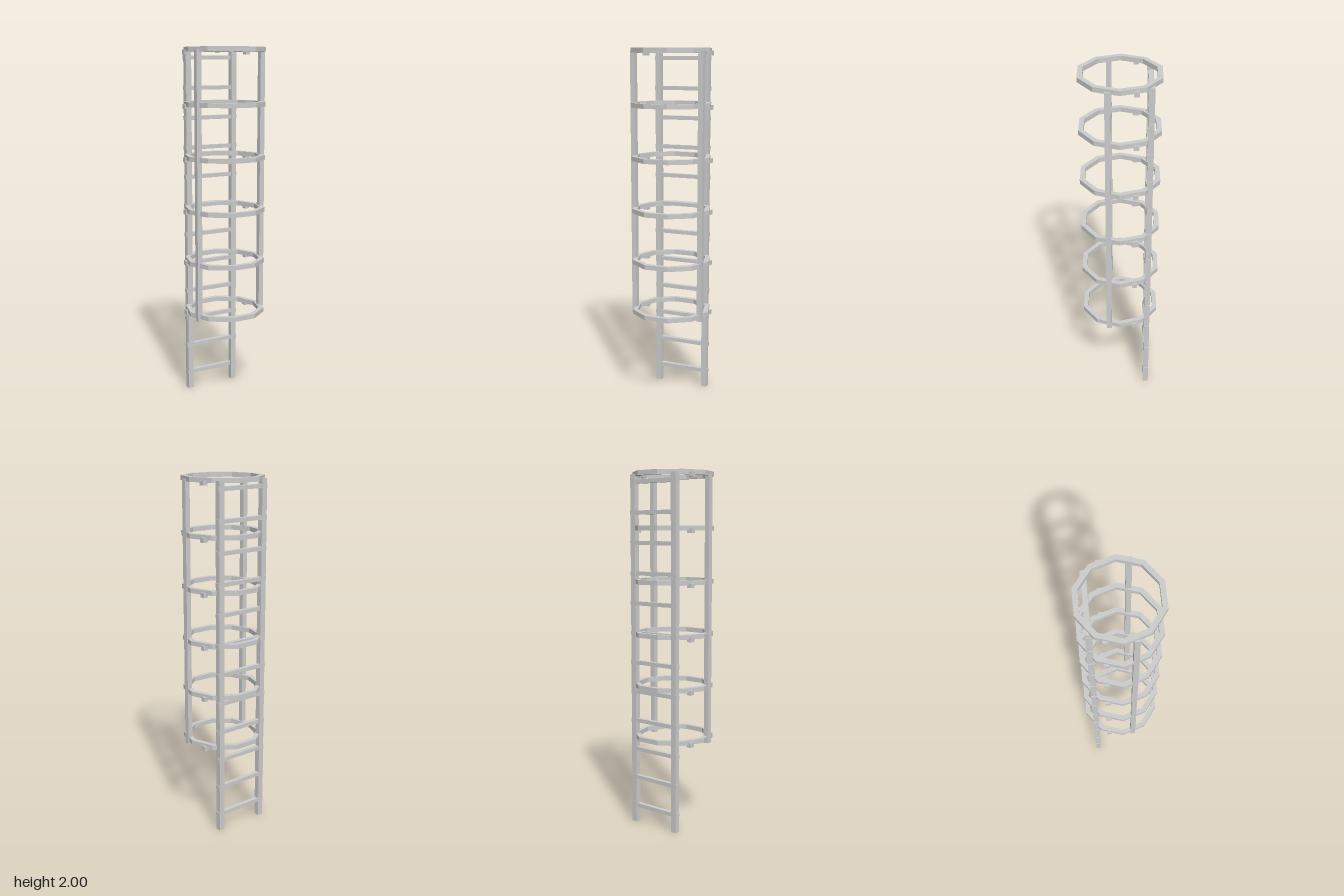
import * as THREE from 'three';

const material = new THREE.MeshStandardMaterial({ color: 0xcccccc, flatShading: true });

// Box given by its minimum and maximum corners
function box(parent, name, [x0, y0, z0], [x1, y1, z1]) {
  const mesh = new THREE.Mesh(new THREE.BoxGeometry(x1 - x0, y1 - y0, z1 - z0), material);
  mesh.position.set((x0 + x1) / 2, (y0 + y1) / 2, (z0 + z1) / 2);
  mesh.name = name;
  parent.add(mesh);
}

// The same box on both sides of the centre plane
function mirroredBox(parent, name, [x0, y0, z0], [x1, y1, z1]) {
  box(parent, name + 'Left', [x0, y0, z0], [x1, y1, z1]);
  box(parent, name + 'Right', [-x1, y0, z0], [-x0, y1, z1]);
}

function decagon(radius) {
  return Array.from({ length: 10 }, (_, i) => {
    const a = (i / 10) * Math.PI * 2;
    return new THREE.Vector2(Math.cos(a) * radius, Math.sin(a) * radius);
  });
}

export function createModel() {
  const model = new THREE.Group();
  model.name = 'cagedLadder';

  // Ladder: two rails with rungs and their end collars
  const ladder = new THREE.Group();
  ladder.name = 'ladder';
  model.add(ladder);
  mirroredBox(ladder, 'rail', [0.131, 0, -0.174], [0.164, 1.985, -0.142]);
  for (let i = 0; i < 12; i++) {
    const y = 0.1 + i * 0.1677;
    box(ladder, 'rung', [-0.14, y - 0.011, -0.171], [0.14, y + 0.011, -0.146]);
    mirroredBox(ladder, 'rungCollar', [0.128, y - 0.012, -0.173], [0.168, y + 0.012, -0.145]);
  }

  // Safety cage: ten-sided hoops with clips beneath them
  const cage = new THREE.Group();
  cage.name = 'safetyCage';
  model.add(cage);
  const hoopHeight = 0.026;
  const hoopShape = new THREE.Shape(decagon(0.227));
  hoopShape.holes.push(new THREE.Path(decagon(0.199)));
  const hoopGeometry = new THREE.ExtrudeGeometry(hoopShape, { depth: hoopHeight, bevelEnabled: false });
  hoopGeometry.rotateX(-Math.PI / 2);
  for (let i = 0; i < 6; i++) {
    const y = 0.497 + i * 0.2954;
    const hoop = new THREE.Mesh(hoopGeometry, material);
    hoop.name = 'hoop';
    hoop.position.y = y;
    cage.add(hoop);
    mirroredBox(cage, 'hoopClip', [0.182, y - 0.014, -0.098], [0.211, y + 0.012, -0.069]);
  }

  // Upright bars tying the hoops together
  mirroredBox(cage, 'cageBar', [0.188, 0.482, 0.047], [0.217, 1.985, 0.076]);
  return model;
}
